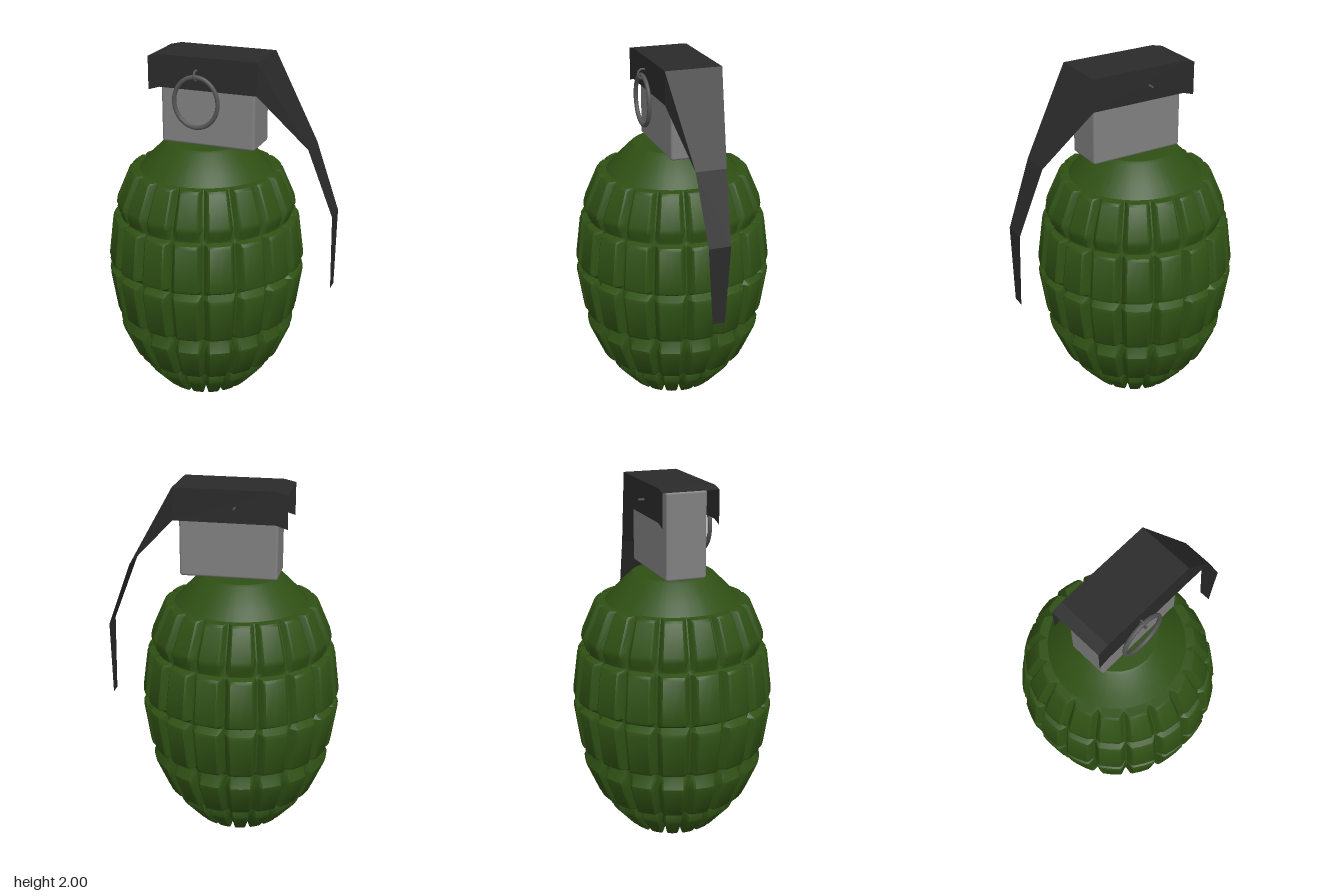
import * as THREE from 'three';
import { toCreasedNormals } from 'three/addons/utils/BufferGeometryUtils.js';
import { RoundedBoxGeometry } from 'three/addons/geometries/RoundedBoxGeometry.js';

const AXIS_X = -0.103; // the body sits off-centre to leave room for the lever
const SECTORS = 18;

// Body rings from the bottom up: [height, tile radius, groove radius]
const RINGS = [
  [0.03, 0, 0], [0.03, 0.19, 0.19], [0.004, 0.235, 0.205], [0, 0.248, 0.215], [0.015, 0.268, 0.23],
  [0.125, 0.366, 0.325], [0.145, 0.375, 0.335], [0.195, 0.375, 0.345], [0.205, 0.37, 0.355],
  [0.208, 0.42, 0.385], [0.22, 0.436, 0.395], [0.385, 0.508, 0.465], [0.41, 0.512, 0.47],
  [0.465, 0.487, 0.475], [0.485, 0.482, 0.477],
  [0.495, 0.52, 0.485], [0.51, 0.531, 0.49], [0.735, 0.565, 0.52], [0.755, 0.56, 0.52],
  [0.78, 0.518, 0.518],
  [0.805, 0.56, 0.52], [0.825, 0.565, 0.52], [1.05, 0.536, 0.49], [1.065, 0.525, 0.49],
  [1.075, 0.49, 0.485], [1.09, 0.492, 0.482],
  [1.14, 0.512, 0.475], [1.165, 0.508, 0.47], [1.33, 0.437, 0.395], [1.342, 0.424, 0.39],
  [1.344, 0.375, 0.375],
  [1.4, 0.325, 0.325], [1.49, 0.235, 0.235], [1.5, 0.22, 0.22], [1.5, 0, 0],
];

// Columns in one sector: [angle in degrees, 0 = groove, 1 = tile]
const COLUMNS = [[0.5, 0], [2.9, 0.85], [4, 1], [10, 1], [16, 1], [17.1, 0.85], [19.5, 0]];

function bodyGeometry() {
  const position = [], index = [];
  const n = SECTORS * COLUMNS.length;
  for (const [y, tile, groove] of RINGS) {
    for (let s = 0; s < SECTORS; s++) {
      for (const [deg, t] of COLUMNS) {
        const a = THREE.MathUtils.degToRad(s * 360 / SECTORS + deg);
        const r = THREE.MathUtils.lerp(groove, tile, t);
        const h = THREE.MathUtils.lerp(Math.max(y, 0.035), y, t);
        position.push(r * Math.sin(a), h, r * Math.cos(a));
      }
    }
  }
  for (let i = 0; i < RINGS.length - 1; i++) {
    for (let j = 0; j < n; j++) {
      const a = i * n + j, b = i * n + (j + 1) % n;
      index.push(a, b, b + n, a, b + n, a + n);
    }
  }
  const geo = new THREE.BufferGeometry();
  geo.setAttribute('position', new THREE.Float32BufferAttribute(position, 3));
  geo.setIndex(index);
  return toCreasedNormals(geo, 0.55);
}

// Lever stations: [x, top y, flange bottom y, half width]
const LEVER = [
  [-0.375, 1.985, 1.8, 0.158], [-0.31, 2, 1.82, 0.158], [0.25, 2, 1.82, 0.158],
  [0.52, 1.535, 1.535, 0.085], [0.66, 1.16, 1.16, 0.062], [0.66, 0.72, 0.72, 0.035],
];

function leverGeometry() {
  const position = [];
  const quad = (a, b, c, d) => position.push(...a, ...b, ...c, ...a, ...c, ...d);
  for (let i = 0; i < LEVER.length - 1; i++) {
    const [x0, t0, b0, w0] = LEVER[i], [x1, t1, b1, w1] = LEVER[i + 1];
    quad([x0, t0, w0], [x1, t1, w1], [x1, t1, -w1], [x0, t0, -w0]);
    if (t0 === b0) continue; // the lower strip has no flanges
    quad([x0, b0, w0], [x1, b1, w1], [x1, t1, w1], [x0, t0, w0]);
    quad([x0, t0, -w0], [x1, t1, -w1], [x1, b1, -w1], [x0, b0, -w0]);
  }
  const geo = new THREE.BufferGeometry();
  geo.setAttribute('position', new THREE.Float32BufferAttribute(position, 3));
  geo.computeVertexNormals();
  return geo;
}

export function createModel() {
  const group = new THREE.Group();
  const add = (name, geometry, material, x = 0, y = 0, z = 0) => {
    const mesh = new THREE.Mesh(geometry, material);
    mesh.name = name;
    mesh.position.set(x, y, z);
    group.add(mesh);
    return mesh;
  };
  const green = new THREE.MeshStandardMaterial({ color: 0x2f5014 });
  const grey = new THREE.MeshStandardMaterial({ color: 0x808080 });
  const steel = new THREE.MeshStandardMaterial({ color: 0x555555 });
  const black = new THREE.MeshStandardMaterial({ color: 0x2a2a2a, side: THREE.DoubleSide, flatShading: true });

  // Segmented body
  add('body', bodyGeometry(), green, AXIS_X);

  // Fuse block under the lever
  add('fuseBlock', new RoundedBoxGeometry(0.545, 0.48, 0.23, 3, 0.015), grey, -0.047, 1.738, 0);

  // Folded sheet lever
  add('lever', leverGeometry(), black);

  // Pull ring, slightly taller than wide, hung from a small eye
  const ring = add('pullRing', new THREE.TorusGeometry(0.13, 0.012, 10, 40), steel, -0.09, 1.757, 0.174);
  ring.scale.set(0.97, 1.07, 1);
  const eye = add('pinEye', new THREE.TorusGeometry(0.027, 0.006, 8, 20), steel, -0.09, 1.905, 0.172);
  eye.rotation.y = Math.PI / 2;
  const pin = add('pin', new THREE.CylinderGeometry(0.006, 0.006, 0.34, 10), steel, -0.09, 1.905, -0.02);
  pin.rotation.x = Math.PI / 2;

  return group;
}
